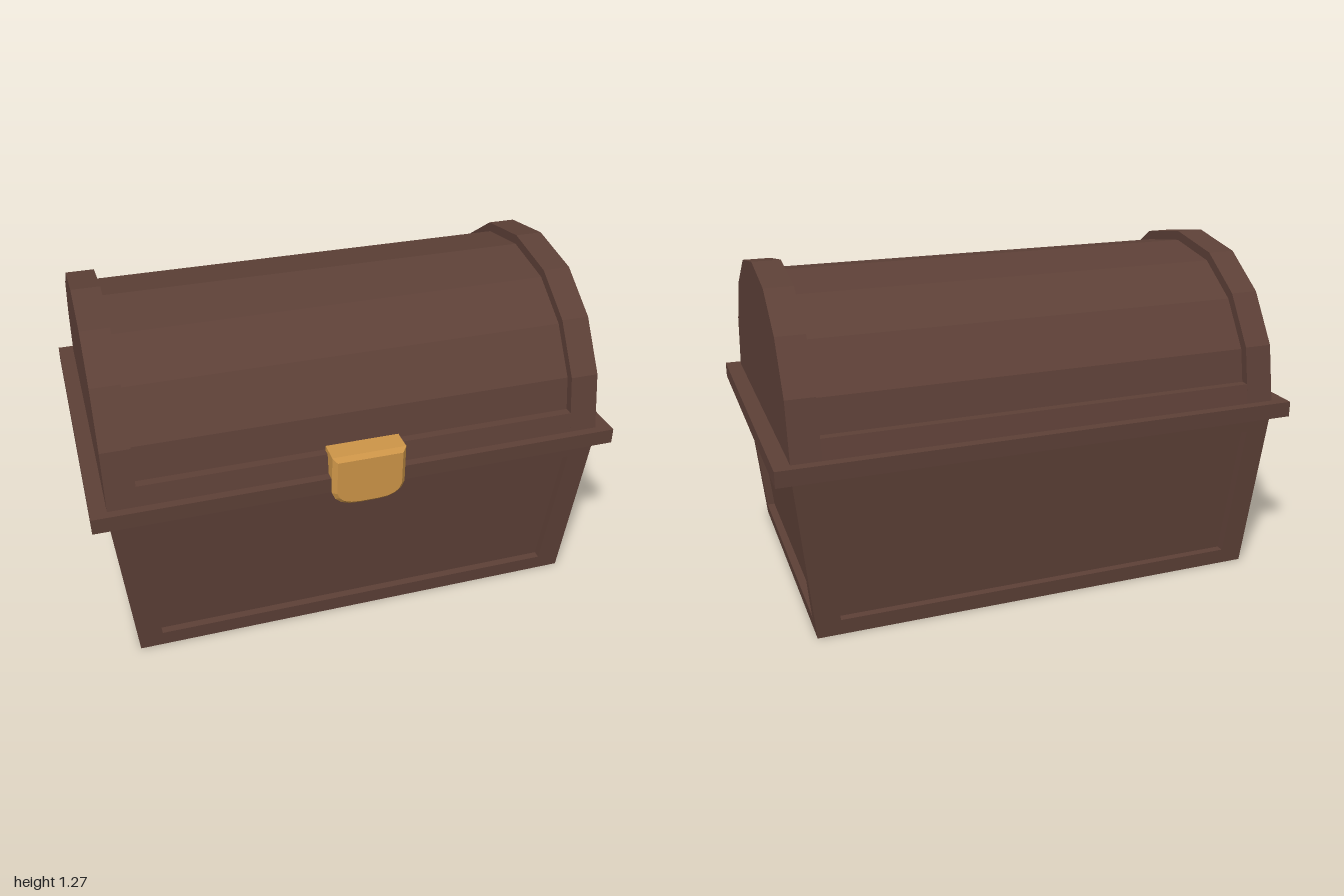
import * as THREE from 'three';

const wood = new THREE.MeshStandardMaterial({ color: 0x5d4037, flatShading: true });
const brass = new THREE.MeshStandardMaterial({ color: 0xcd9548, flatShading: true });
const CZ = -0.01; // body is set slightly behind the origin

function add(parent, name, geometry, material = wood) {
  const mesh = new THREE.Mesh(geometry, material);
  mesh.name = name;
  parent.add(mesh);
  return mesh;
}

// Extrude a [z, y] outline along x, from x0 to x1
function extrudeX(points, x0, x1) {
  const shape = new THREE.Shape(points.map(([z, y]) => new THREE.Vector2(z, y)));
  return new THREE.ExtrudeGeometry(shape, { depth: x1 - x0, bevelEnabled: false })
    .rotateY(-Math.PI / 2).translate(x1, 0, 0);
}

// Geometry from a list of four-cornered faces (counter-clockwise)
function quads(list) {
  const pos = [];
  for (const [a, b, c, d] of list) for (const p of [a, b, c, a, c, d]) pos.push(...p);
  const g = new THREE.BufferGeometry();
  g.setAttribute('position', new THREE.Float32BufferAttribute(pos, 3));
  g.computeVertexNormals();
  return g;
}

// One tapered wall facing +z, with a recessed panel
function wall(w0, w1, d0, d1, h) {
  const at = (side, y, margin, inset) => {
    const t = y / h;
    return [side * (w0 + (w1 - w0) * t - margin), y, d0 + (d1 - d0) * t - inset];
  };
  const ring = (y0, y1, m, inset) =>
    [at(-1, y0, m, inset), at(1, y0, m, inset), at(1, y1, m, inset), at(-1, y1, m, inset)];
  const outer = ring(0, h, 0, 0);
  const edge = ring(0.06, 0.58, m(w0), 0);
  const panel = ring(0.06, 0.58, m(w0), 0.03);
  const faces = [panel];
  for (let i = 0; i < 4; i++) {
    const j = (i + 1) % 4;
    faces.push([outer[i], outer[j], edge[j], edge[i]]);
    faces.push([edge[i], edge[j], panel[j], panel[i]]);
  }
  return quads(faces);
}
// Frame width: wider on the long walls than on the ends
const m = (w) => (w > 0.7 ? 0.093 : 0.058);

export function createModel() {
  const chest = new THREE.Group();
  chest.name = 'chest';

  // Tapered body with four panelled walls and a floor
  const body = new THREE.Group();
  body.name = 'body';
  body.position.z = CZ;
  chest.add(body);
  const X0 = 0.877, X1 = 0.94, Z0 = 0.563, Z1 = 0.602, H = 0.65;
  ['frontWall', 'leftWall', 'backWall', 'rightWall'].forEach((name, i) => {
    const g = i % 2 ? wall(Z0, Z1, X0, X1, H) : wall(X0, X1, Z0, Z1, H);
    add(body, name, g.rotateY(i * Math.PI / 2));
  });
  add(body, 'floor', quads([[[-X0, 0, -Z0], [X0, 0, -Z0], [X0, 0, Z0], [-X0, 0, Z0]]]));

  // Projecting rim between body and lid
  add(chest, 'rim', new THREE.BoxGeometry(2, 0.06, 1.275)).position.set(0, 0.67, -0.0125);

  // Small wedge beneath the rim on one end
  const wedge = add(chest, 'rimWedge', new THREE.ConeGeometry(0.045, 0.04, 4).rotateX(Math.PI));
  wedge.position.set(0.935, 0.62, CZ);

  // Barrel lid: raised end bands, recessed middle and low rails
  const lid = new THREE.Group();
  lid.name = 'lid';
  chest.add(lid);
  const half = [[0.602, 0.7], [0.56, 0.915], [0.437, 1.1], [0.252, 1.225]];
  const arch = [
    ...half.map(([z, y]) => [CZ + z, y]),
    [CZ, 1.268],
    ...half.slice().reverse().map(([z, y]) => [CZ - z, y]),
  ];
  const inner = arch.map(([z, y]) => [CZ + (z - CZ) * 0.945, 0.7 + (y - 0.7) * 0.935]);
  add(lid, 'lidMiddle', extrudeX(inner, -0.84, 0.84));
  add(lid, 'leftBand', extrudeX(arch, 0.832, 0.94));
  add(lid, 'rightBand', extrudeX(arch, -0.94, -0.832));
  const rail = [[CZ + 0.602, 0.7], [CZ + 0.587, 0.775], [CZ - 0.587, 0.775], [CZ - 0.602, 0.7]];
  add(lid, 'lidRails', extrudeX(rail, -0.835, 0.835));

  // Latch with a rounded lower end and chamfered face
  const b = 0.016;
  const w = 0.14 - b, top = 0.795 - b, low = 0.58 + b;
  const s = new THREE.Shape();
  s.moveTo(-w, top);
  s.lineTo(-w, 0.645);
  s.quadraticCurveTo(-w + 0.01, low, -w + 0.09, low);
  s.lineTo(w - 0.09, low);
  s.quadraticCurveTo(w - 0.01, low, w, 0.645);
  s.lineTo(w, top);
  s.closePath();
  const latch = new THREE.ExtrudeGeometry(s, {
    depth: 0.083, bevelEnabled: true, bevelThickness: b, bevelSize: b, bevelSegments: 1, curveSegments: 4,
  });
  add(chest, 'latch', latch, brass).position.z = 0.551;

  return chest;
}
